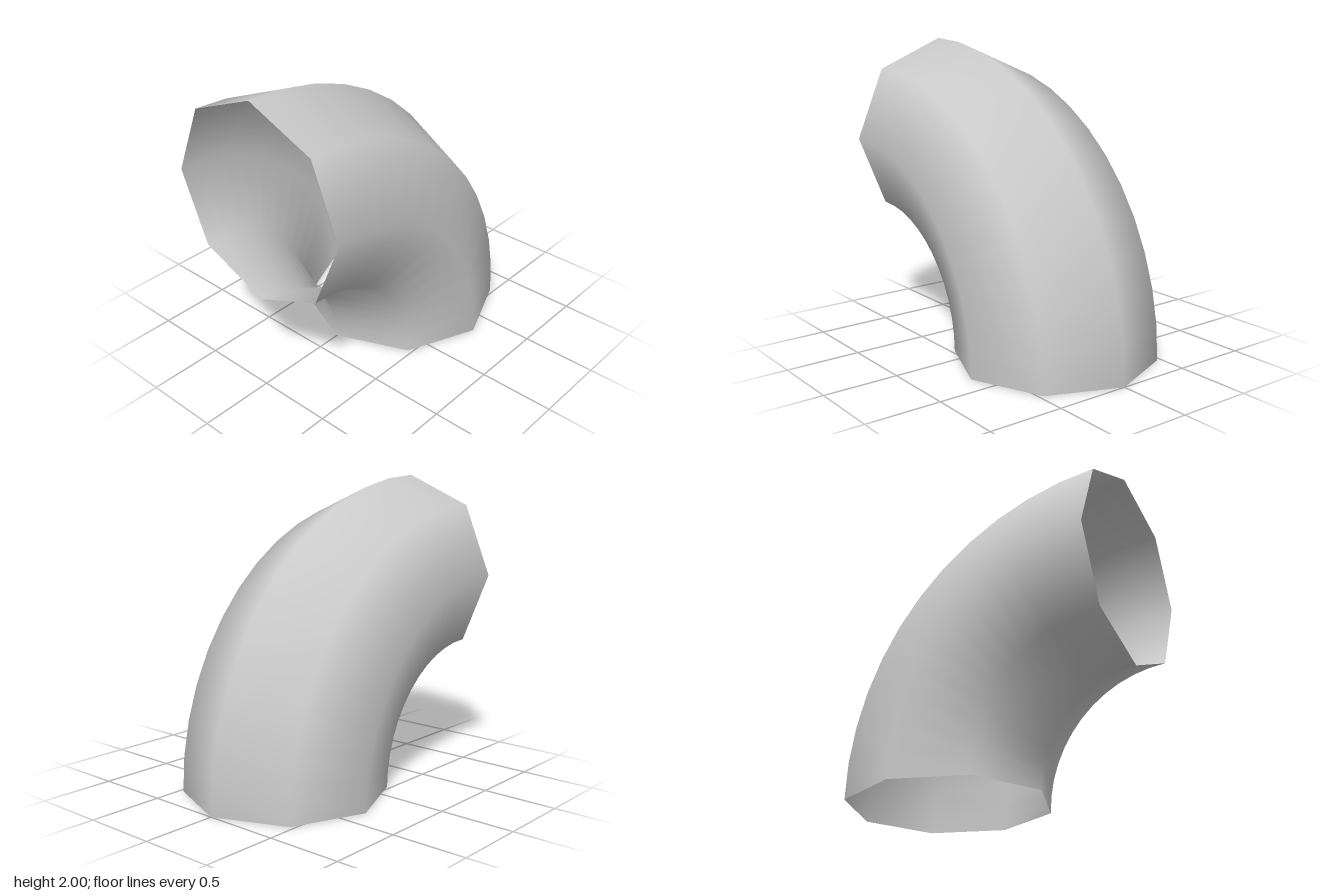
import * as THREE from 'three';

export function createModel() {
  const group = new THREE.Group();
  group.name = 'pipeElbow';

  // Open eight-sided tube swept through a quarter turn
  const tubeRadius = 2 / 3;
  const bendRadius = 4 / 3;
  const geometry = new THREE.TorusGeometry(bendRadius, tubeRadius, 8, 12, Math.PI / 2);
  geometry.rotateY(Math.PI / 2); // bend lies in the y-z plane, rising from the back
  geometry.translate(0, 0, 1);

  const material = new THREE.MeshStandardMaterial({ color: 0xcccccc, side: THREE.DoubleSide });
  const elbow = new THREE.Mesh(geometry, material);
  elbow.name = 'elbowTube';
  group.add(elbow);

  return group;
}
